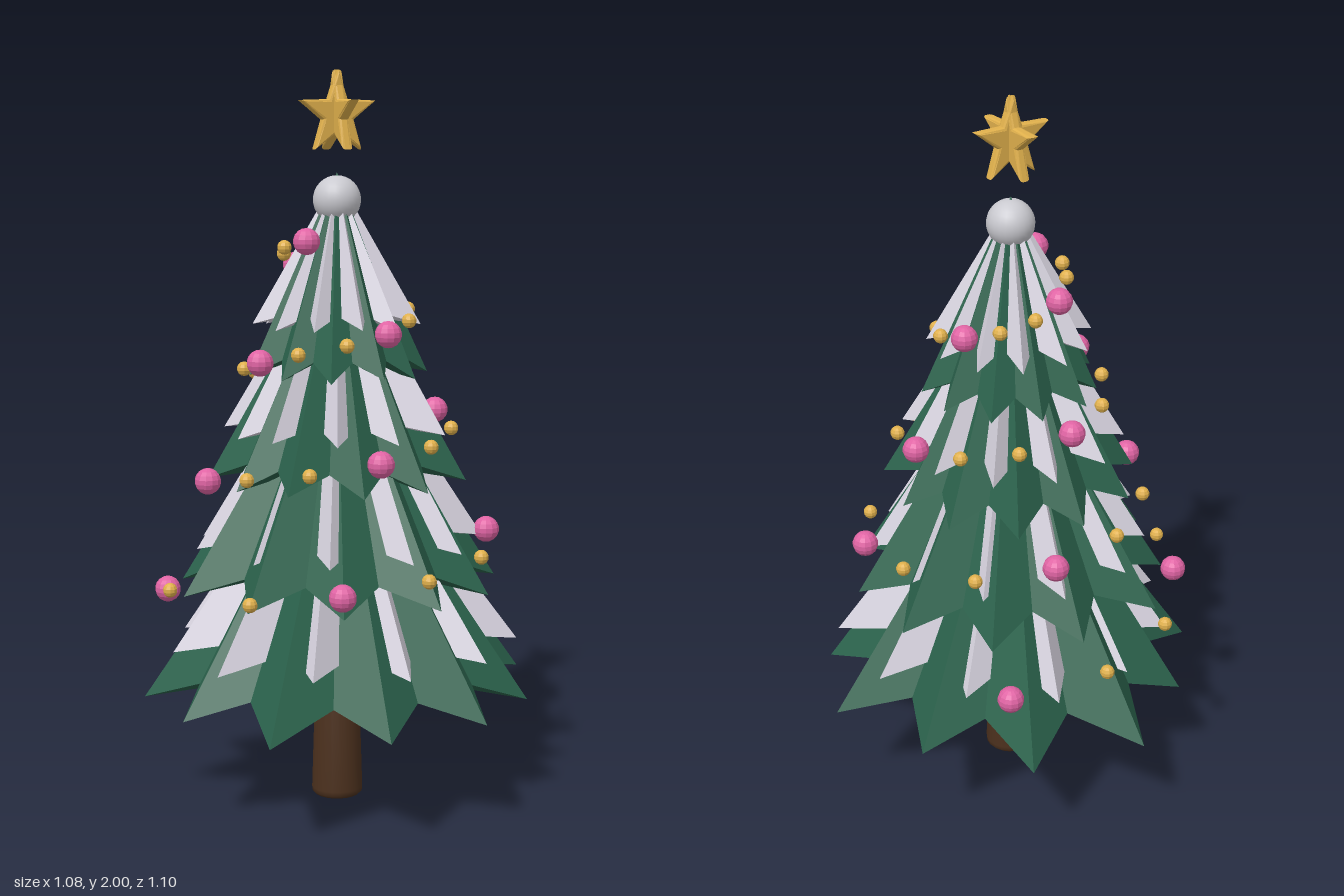
import * as THREE from 'three';

const mat = (name, color, flatShading = false) => {
  const m = new THREE.MeshStandardMaterial({ color, flatShading });
  m.name = name;
  return m;
};

// Star-shaped cone: ridges run from the apex to each tip, valleys lie between
function starCone({ n = 11, phase, radius, inner, y, rise, apex, radii, jitter = 0.04 }) {
  const rim = [];
  for (let i = 0; i < n * 2; i++) {
    const k = i >> 1, tip = i % 2 === 0;
    const a = THREE.MathUtils.degToRad(phase + (i * 180) / n);
    const wobble = jitter * Math.sin(k * 2.4 + phase);
    const r = tip ? (radii ? radii[k] : radius * (1 + wobble)) : radius * inner;
    rim.push([r * Math.cos(a), tip ? y + 0.15 * wobble : y + rise, r * Math.sin(a)]);
  }
  const pos = [];
  rim.forEach((p, i) => {
    const q = rim[(i + 1) % rim.length];
    pos.push(0, apex, 0, ...q, ...p);
    pos.push(0, y + rise, 0, ...p, ...q);
  });
  const g = new THREE.BufferGeometry();
  g.setAttribute('position', new THREE.Float32BufferAttribute(pos, 3));
  g.computeVertexNormals();
  // Even shading on the underside: every second triangle faces straight down
  const normal = g.attributes.normal;
  for (let i = 0; i < normal.count; i++) if (i % 6 > 2) normal.setXYZ(i, 0, -1, 0);
  return g;
}

export function createModel() {
  const model = new THREE.Group();
  model.name = 'christmasTree';
  const green = mat('needle green', 0x2b624c);
  const snow = mat('snow', 0xdad6e2);
  const cap = mat('cap silver', 0xcacad0);
  const pink = mat('bauble pink', 0xe064a4, true);
  const gold = mat('gold', 0xe0b04c, true);
  const bark = mat('bark brown', 0x4b301d);

  const tree = new THREE.Group();
  tree.name = 'tree';
  tree.position.set(-0.03, 0, 0.03);
  model.add(tree);
  const add = (parent, name, geo, material, x = 0, y = 0, z = 0) => {
    const m = new THREE.Mesh(geo, material);
    m.name = name;
    m.position.set(x, y, z);
    parent.add(m);
    return m;
  };

  // Trunk with a softened foot
  const profile = [[0, 0], [0.062, 0], [0.07, 0.008], [0.071, 0.02], [0.056, 0.5], [0, 0.5]];
  add(tree, 'trunk', new THREE.LatheGeometry(profile.map((p) => new THREE.Vector2(...p)), 20), bark);

  // Four tiers of branches, each with snow ridges poking through
  const tiers = [
    { r: 0.54, y: 0.30, rise: 0.06, apex: 1.08, phase: 2,
      radii: [0.568, 0.53, 0.53, 0.53, 0.56, 0.525, 0.535, 0.51, 0.58, 0.56, 0.54],
      snowR: 0.475, snowY: 0.44, snowApex: 1.11, snowPhase: -8,
      snowRadii: [0.48, 0.50, 0.47, 0.45, 0.46, 0.48, 0.465, 0.45, 0.43, 0.465, 0.43] },
    { r: 0.45, y: 0.61, rise: 0.055, apex: 1.32, phase: -18,
      snowR: 0.39, snowY: 0.725, snowApex: 1.35, snowPhase: -13 },
    { r: 0.345, y: 0.90, rise: 0.05, apex: 1.53, phase: 5,
      snowR: 0.305, snowY: 1.03, snowApex: 1.56, snowPhase: -16 },
    { r: 0.245, y: 1.19, rise: 0.045, apex: 1.73, phase: -12,
      snowR: 0.222, snowY: 1.32, snowApex: 1.72, snowPhase: 0 },
  ];
  tiers.forEach((t, i) => {
    add(tree, `branchTier${i + 1}`, starCone({
      phase: t.phase, radius: t.r, inner: 0.75, y: t.y, rise: t.rise, apex: t.apex, radii: t.radii,
    }), green);
    add(tree, `snowTier${i + 1}`, starCone({
      phase: t.snowPhase, radius: t.snowR, inner: 0.62, y: t.snowY, rise: 0.035,
      apex: t.snowApex, radii: t.snowRadii,
    }), snow);
  });

  // Snowball on the peak
  add(tree, 'peakBall', new THREE.SphereGeometry(0.065, 24, 16), cap, 0, 1.657, 0);

  // Two crossed five-point stars
  const shape = new THREE.Shape();
  for (let i = 0; i < 10; i++) {
    const a = Math.PI / 2 + (i * Math.PI) / 5, r = i % 2 ? 0.038 : 0.105;
    shape[i ? 'lineTo' : 'moveTo'](r * Math.cos(a), r * Math.sin(a));
  }
  const starGeo = new THREE.ExtrudeGeometry(shape, {
    depth: 0.014, bevelEnabled: true, bevelSize: 0.008, bevelThickness: 0.008, bevelSegments: 2,
  });
  starGeo.translate(0, 0, -0.007);
  [0, Math.PI / 2].forEach((turn, i) => {
    add(tree, `topStar${i + 1}`, starGeo, gold, 0, 1.884, 0).rotation.y = turn;
  });

  // Ornaments spiralling down the tree
  const baubles = [
    [-0.145, 1.55, 0.085], [-0.085, 1.475, -0.12], [0.15, 1.39, -0.025], [0.02, 1.31, 0.24],
    [-0.27, 1.23, 0.06], [-0.045, 1.15, -0.245], [0.27, 1.07, 0.035], [-0.06, 0.987, 0.36],
    [-0.385, 0.905, -0.035], [0.07, 0.825, -0.345], [0.365, 0.745, 0.165], [-0.205, 0.665, 0.435],
    [-0.445, 0.58, -0.195], [0.245, 0.5, -0.395],
  ];
  const beads = [
    [-0.165, 1.53, -0.015], [-0.145, 1.51, -0.065], [0, 1.445, -0.135], [0.09, 1.42, -0.105],
    [0.16, 1.36, 0.08], [0.115, 1.337, 0.175], [-0.1, 1.285, 0.24], [-0.21, 1.26, 0.175],
    [-0.26, 1.2, -0.075], [-0.18, 1.175, -0.19], [0.105, 1.12, -0.22], [0.225, 1.097, -0.12],
    [0.235, 1.042, 0.195], [0.11, 1.015, 0.315], [-0.235, 0.96, 0.3], [-0.35, 0.935, 0.155],
    [-0.305, 0.88, -0.22], [-0.135, 0.855, -0.335], [0.26, 0.795, -0.245], [0.37, 0.775, -0.055],
    [0.24, 0.715, 0.36], [0.03, 0.69, 0.46], [-0.4, 0.635, 0.29], [-0.49, 0.61, -0.055],
    [-0.27, 0.555, -0.39], [-0.02, 0.53, -0.465],
  ];
  const baubleGeo = new THREE.SphereGeometry(0.036, 12, 9);
  const beadGeo = new THREE.SphereGeometry(0.02, 10, 7);
  baubles.forEach((p, i) => add(model, `bauble${i + 1}`, baubleGeo, pink, ...p));
  beads.forEach((p, i) => add(model, `bead${i + 1}`, beadGeo, gold, ...p));

  return model;
}
